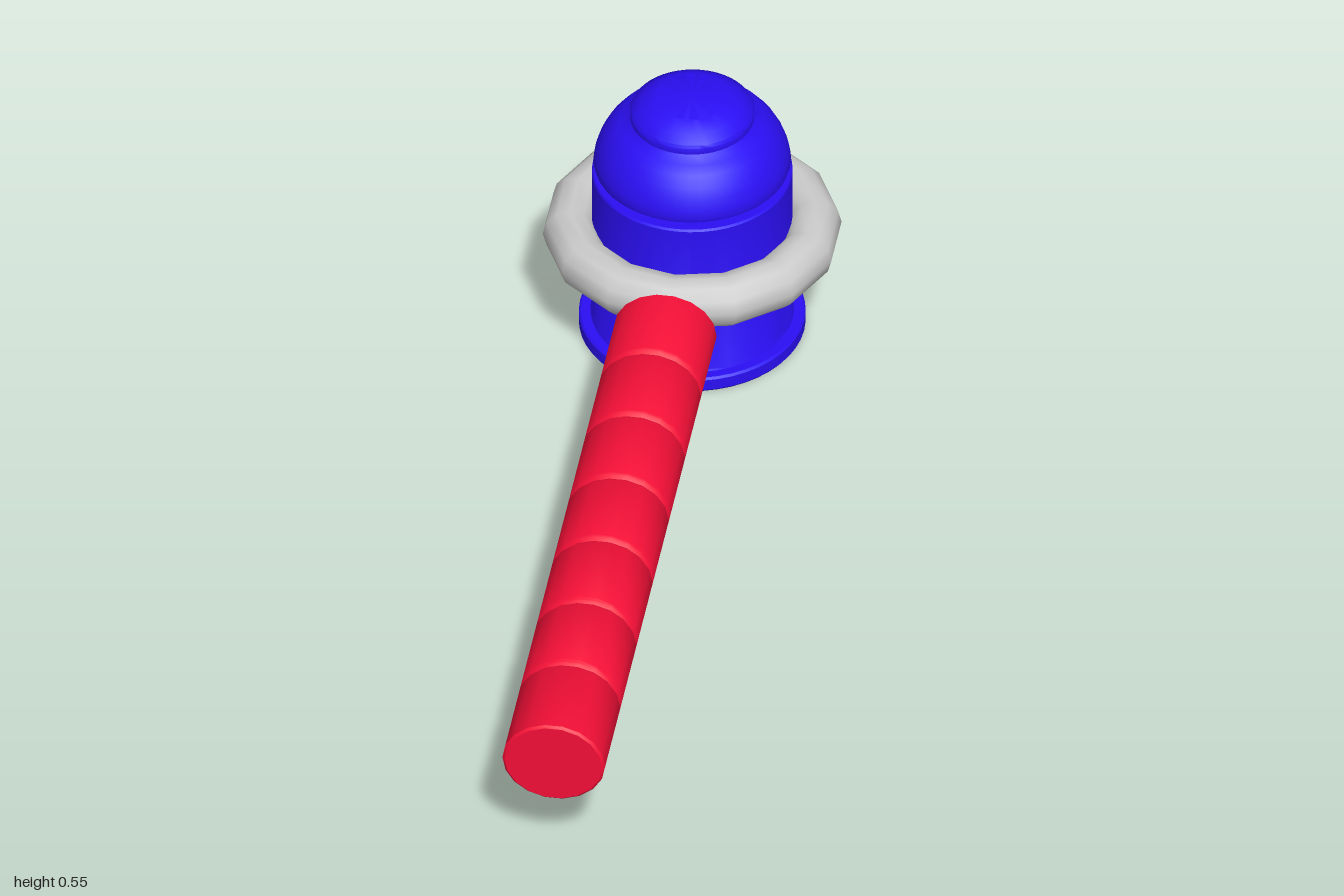
import * as THREE from 'three';
import { toCreasedNormals } from 'three/addons/utils/BufferGeometryUtils.js';

const BLUE = 0x2b0ff5, RED = 0xf50f37, GREY = 0xcccccc;
const HEAD_Z = -0.712, AXIS_Y = 0.227;

function lathe(profile, sides, start = 0) {
  const points = profile.map(([r, h]) => new THREE.Vector2(r, h));
  return toCreasedNormals(new THREE.LatheGeometry(points, sides, start), 0.6);
}

function part(name, geometry, color) {
  const mesh = new THREE.Mesh(geometry, new THREE.MeshStandardMaterial({ color }));
  mesh.name = name;
  return mesh;
}

export function createModel() {
  const model = new THREE.Group();
  model.name = 'hammer';

  // Head: flanged base and straight barrel
  const barrel = part('headBarrel', lathe([
    [0, 0], [0.215, 0], [0.218, 0.004], [0.218, 0.027], [0.214, 0.031],
    [0.196, 0.031], [0.193, 0.036], [0.193, 0.368], [0.19, 0.372], [0, 0.372],
  ], 48), BLUE);

  // Head: domed cap with a narrow waist and a stepped crown
  const cap = part('headCap', lathe([
    [0.165, 0.37], [0.167, 0.376], [0.188, 0.388], [0.19, 0.394], [0.187, 0.412],
    [0.18, 0.433], [0.169, 0.454], [0.154, 0.473], [0.138, 0.486], [0.123, 0.493],
    [0.119, 0.498], [0.12, 0.512], [0.117, 0.518], [0.098, 0.531], [0.074, 0.545],
    [0.07, 0.546], [0, 0.546],
  ], 48), BLUE);

  for (const mesh of [barrel, cap]) {
    mesh.scale.z = 1.03;
    mesh.position.z = HEAD_Z;
    model.add(mesh);
  }

  // Ring around the head
  const ringShape = new THREE.TorusGeometry(0.236, 0.052, 12, 14);
  ringShape.rotateX(Math.PI / 2).rotateY(Math.PI / 2);
  const ring = part('ring', ringShape, GREY);
  ring.position.set(0, AXIS_Y, HEAD_Z);
  model.add(ring);

  // Tapered neck joining ring and handle
  const neckShape = new THREE.CylinderGeometry(0.05, 0.036, 0.11, 16);
  neckShape.rotateX(Math.PI / 2);
  const neck = part('neck', neckShape, GREY);
  neck.scale.y = 0.9;
  neck.position.set(0, AXIS_Y, -0.425);
  model.add(neck);

  // Handle: oval grip split by evenly spaced grooves
  const back = -0.385, front = 1, r = 0.1;
  const profile = [[0, back], [r - 0.005, back], [r, back + 0.005]];
  for (let i = 0; i < 6; i++) {
    const z = -0.2 + i * 0.199;
    profile.push([r, z - 0.012], [r - 0.003, z - 0.006], [r - 0.009, z],
      [r - 0.003, z + 0.006], [r, z + 0.012]);
  }
  profile.push([r, front - 0.005], [r - 0.005, front], [0, front]);
  const handle = part('handle', lathe(profile, 18, Math.PI / 2).rotateX(Math.PI / 2), RED);
  handle.scale.y = 0.885;
  handle.position.y = AXIS_Y;
  model.add(handle);

  return model;
}
